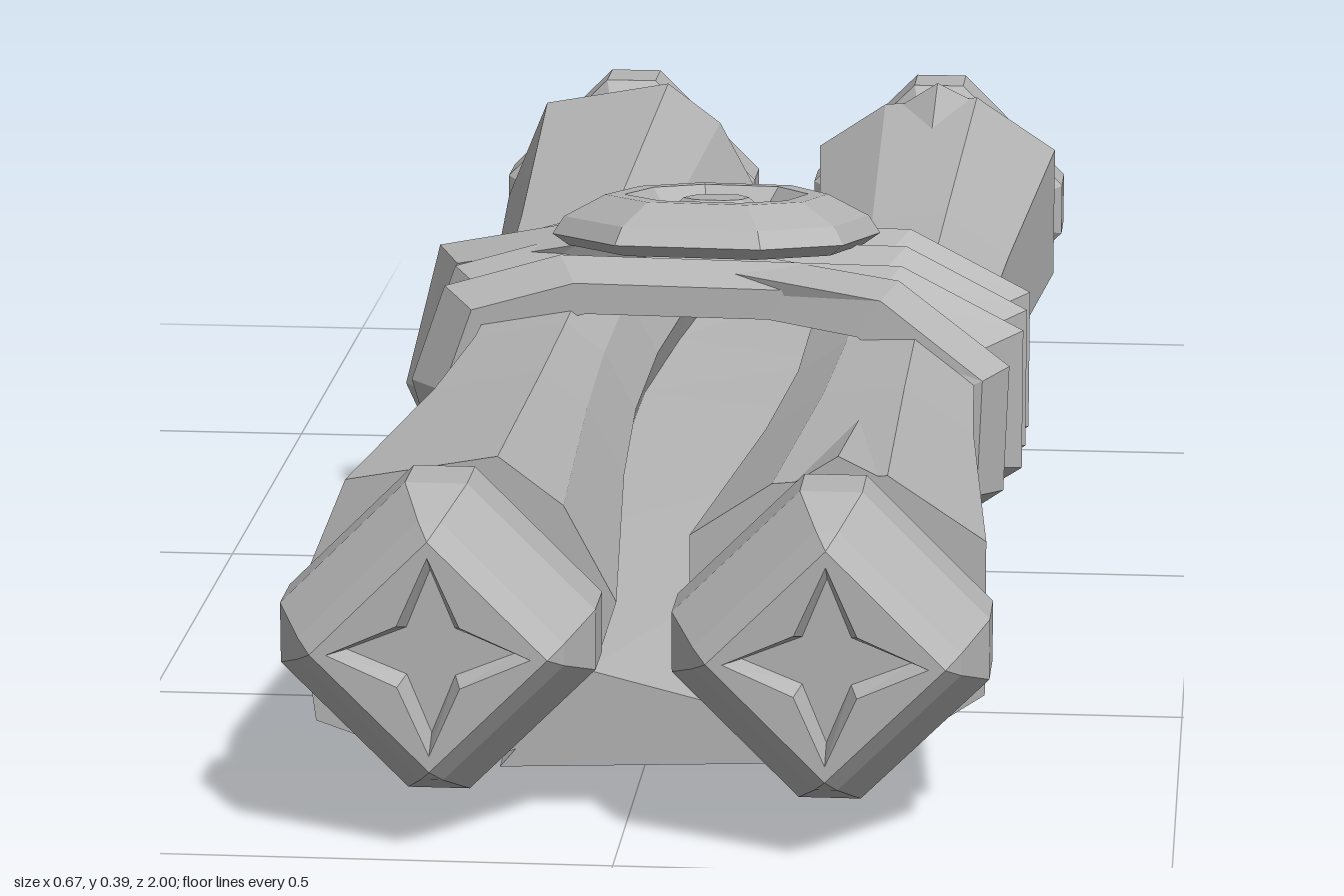
import * as THREE from 'three';

const grey = new THREE.MeshStandardMaterial({ color: 0xb4b4b4, flatShading: true });
grey.name = 'stone grey';

// Skin a row of counter-clockwise rings running toward +z; loop joins last ring to first, otherwise ends are capped
function loft(name, rings, loop = false) {
  const pos = [];
  const tri = (a, b, c) => {
    const n = b.clone().sub(a).cross(c.clone().sub(a));
    if (n.length() > 1e-9) for (const p of [a, b, c]) pos.push(p.x, p.y, p.z);
  };
  const n = rings[0].length;
  for (let i = 0; i < rings.length - (loop ? 0 : 1); i++) {
    const A = rings[i], B = rings[(i + 1) % rings.length];
    for (let j = 0; j < n; j++) {
      const k = (j + 1) % n;
      tri(A[j], A[k], B[k]);
      tri(A[j], B[k], B[j]);
    }
  }
  if (!loop) {
    const cap = (ring, flip) => {
      const c = ring.reduce((s, p) => s.add(p), new THREE.Vector3()).divideScalar(n);
      ring.forEach((p, j) => {
        const q = ring[(j + 1) % n];
        flip ? tri(c, q, p) : tri(c, p, q);
      });
    };
    cap(rings[0], true);
    cap(rings[rings.length - 1], false);
  }
  const g = new THREE.BufferGeometry();
  g.setAttribute('position', new THREE.Float32BufferAttribute(pos, 3));
  g.computeVertexNormals();
  const mesh = new THREE.Mesh(g, grey);
  mesh.name = name;
  return mesh;
}

const V = (x, y, z) => new THREE.Vector3(x, y, z);
const MID_Y = 0.19, LEFT_X = -0.165, RIGHT_X = 0.19;

// Paper flares from a tight waist to wide ends; each point shrinks toward its own roll axis
const flare = [[-0.845, 1], [-0.38, 0.76], [-0.12, 0.66], [0.12, 0.66], [0.38, 0.75], [0.84, 1]];
const paper = (name, outline) => loft(name, flare.map(([z, s]) => outline.map(([x, y]) => {
  const cx = x < 0 ? LEFT_X : RIGHT_X;
  return V(cx + (x - cx) * s, MID_Y + (y - MID_Y) * s, z);
})));

// Handle knob: bevelled diamond with a four-pointed star sunk into its face
function knob(name) {
  // r: tip radius, w: flat at each tip, d: radius on the diagonals
  const ring = (z, r, w, d = (r + w) / Math.SQRT2) => {
    const pts = [];
    for (let q = 0; q < 4; q++) {
      const a = q * Math.PI / 2, c = Math.cos(a), s = Math.sin(a);
      const m = d / Math.SQRT2;
      for (const [x, y] of [[r, -w], [r, 0], [r, w], [m, m]]) pts.push(V(x * c - y * s, x * s + y * c, z));
    }
    return pts;
  };
  return loft(name, [
    ring(0, 0.115, 0.02), ring(0.03, 0.143, 0.028), ring(0.09, 0.143, 0.028),
    ring(0.14, 0.12, 0.01), ring(0.16, 0.107, 0),
    ring(0.16, 0.092, 0, 0.04), ring(0.138, 0.076, 0, 0.031),
  ]);
}

// Hollow band around both rolls; steps are [z, scale x, scale y], skew slides it along z
function band(name, outline, steps, skew = 0) {
  const all = [...steps, [steps[steps.length - 1][0], 0.8, 0.64], [steps[0][0], 0.8, 0.64]];
  return loft(name, all.map(([z, sx, sy]) => outline.map(([x, y]) =>
    V(x * sx, MID_Y + (y - MID_Y) * sy, z + skew * x))), true);
}

export function createModel() {
  const model = new THREE.Group();
  model.name = 'tiedScroll';

  // Rolled paper and the sheet joining the two rolls
  model.add(paper('rightRoll', [[-0.29, 0.08], [-0.16, 0.035], [-0.05, 0.08], [-0.012, 0.2],
    [-0.06, 0.29], [-0.12, 0.335], [-0.26, 0.31], [-0.305, 0.2]]));
  model.add(paper('leftRoll', [[0.325, 0.12], [0.325, 0.265], [0.235, 0.325], [0.13, 0.315],
    [0.055, 0.265], [0.055, 0.15], [0.085, 0.085], [0.19, 0.03]]));
  model.add(paper('joiningSheet', [[-0.12, 0.04], [0.14, 0.05], [0.08, 0.105], [-0.04, 0.135]]));

  // Lifted paper creases at the ends of one roll
  for (const [side, tip] of [[1, 0.53], [-1, 0.67]]) {
    const end = [V(0.14, 0.31, side * 0.84), V(0.235, 0.32, side * 0.84), V(0.19, 0.342, side * 0.84)];
    const point = [0, 1, 2].map(() => V(0.19, 0.298, side * tip));
    model.add(loft('paperCrease', side > 0 ? [point, end] : [end, point]));
  }

  // Four handle knobs
  for (const x of [LEFT_X, RIGHT_X]) {
    for (const side of [1, -1]) {
      const k = knob('handleKnob');
      k.position.set(x, MID_Y, side * 0.84);
      if (side < 0) k.rotation.y = Math.PI;
      model.add(k);
    }
  }

  // Three-ridged strap
  model.add(band('ridgedStrap',
    [[0.325, 0.12], [0.325, 0.265], [0.2, 0.33], [-0.15, 0.335], [-0.27, 0.3],
      [-0.305, 0.2], [-0.27, 0.08], [-0.16, 0.035], [0.185, 0.03]],
    [[-0.18, 0.88, 0.86], [-0.14, 1, 1], [-0.1, 0.88, 0.86], [-0.06, 1, 1],
      [-0.02, 0.88, 0.86], [0.03, 1, 1], [0.07, 0.88, 0.86]]));

  // Strap crossing diagonally over the ridges
  model.add(band('diagonalStrap',
    [[0.31, 0.12], [0.315, 0.25], [0.2, 0.325], [-0.15, 0.345], [-0.295, 0.305],
      [-0.335, 0.15], [-0.295, 0.07], [-0.19, 0], [0.14, 0.015], [0.185, 0.022]],
    [[-0.045, 0.9, 0.9], [-0.01, 1, 1], [0.035, 0.92, 0.92]], 0.42));

  // Wax seal: uneven disc with a raised rim and sunken centre
  const blob = [[0.17, 0.02], [0.105, 0.145], [-0.035, 0.165], [-0.125, 0.09],
    [-0.165, -0.05], [-0.09, -0.155], [0.06, -0.17], [0.14, -0.11]];
  const seal = loft('waxSeal', [[0, 0.9], [0.012, 1], [0.03, 0.93], [0.052, 0.68], [0.052, 0.56],
    [0.036, 0.48], [0.036, 0.28], [0.048, 0.2]].map(([h, s]) => blob.map(([x, y]) => V(x * s, y * s, h))));
  seal.geometry.rotateX(-Math.PI / 2);
  seal.position.set(0, 0.325, -0.08);
  seal.rotation.x = -0.12;
  model.add(seal);

  return model;
}
